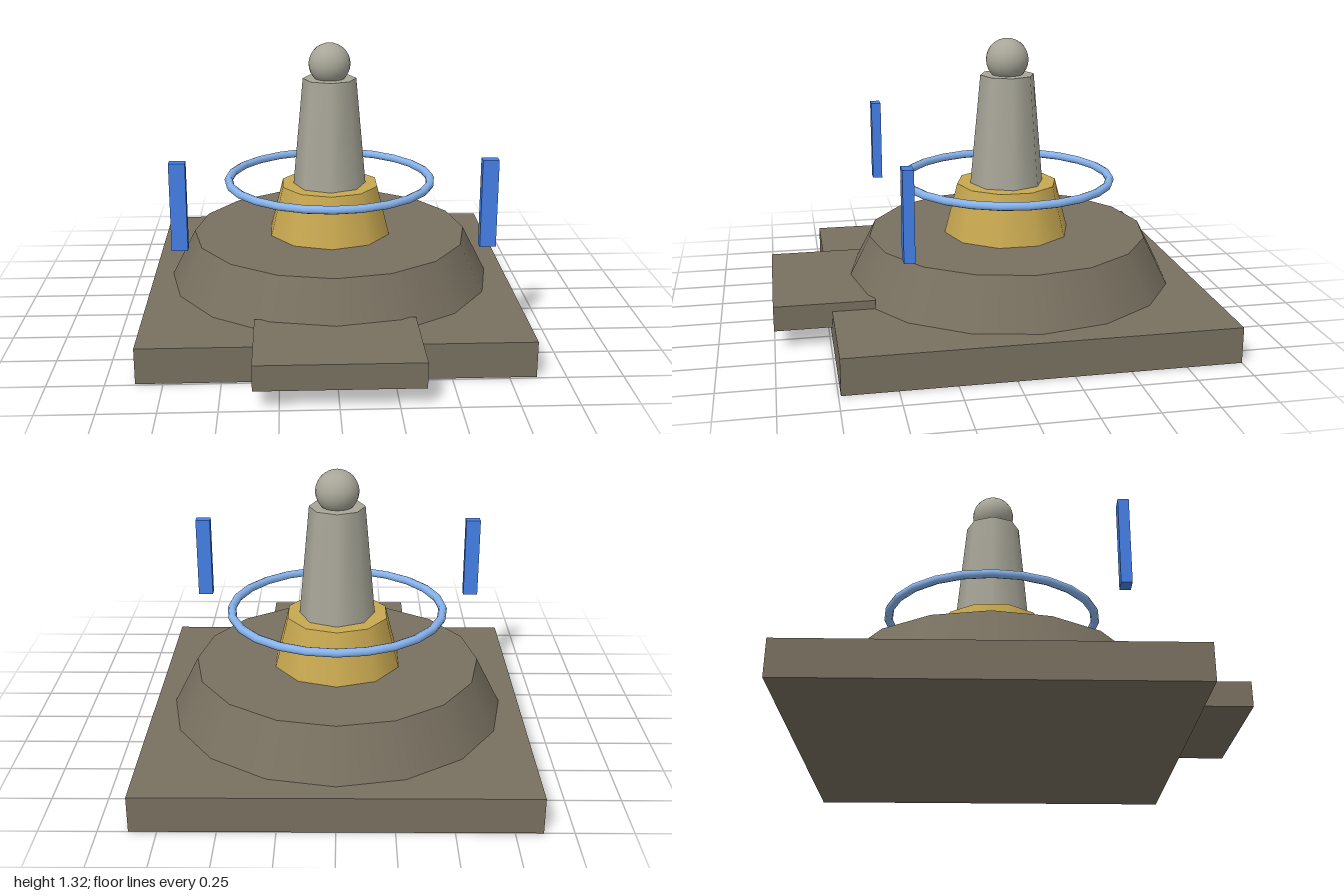
import * as THREE from 'three';

const STONE = 0x787060, GOLD = 0xc8a850, PALE = 0xa8a698, RING = 0x88b4ee, BLUE = 0x4480e8;
const AXIS_Z = -0.13; // the tower stands on the centre of the base

export function createModel() {
  const model = new THREE.Group();
  model.name = 'shrineTower';

  const add = (name, geometry, color, x, y, z) => {
    const mesh = new THREE.Mesh(geometry, new THREE.MeshStandardMaterial({ color }));
    mesh.name = name;
    mesh.position.set(x, y, z);
    model.add(mesh);
    return mesh;
  };
  // box given by its size, bottom height and centre
  const box = (name, w, h, d, color, x, y0, z) =>
    add(name, new THREE.BoxGeometry(w, h, d), color, x, y0 + h / 2, z);
  // tapered tier from y0 to y1 on the tower axis
  const tier = (name, rTop, rBottom, y0, y1, sides, color) =>
    add(name, new THREE.CylinderGeometry(rTop, rBottom, y1 - y0, sides), color, 0, (y0 + y1) / 2, AXIS_Z);

  // base slab and front step
  box('baseSlab', 1.74, 0.165, 1.74, STONE, 0, 0, AXIS_Z);
  box('frontStep', 0.72, 0.115, 0.455, STONE, 0, 0.09, 0.7725);

  // tower tiers
  tier('lowerTier', 0.665, 0.78, 0.165, 0.39, 16, STONE);
  tier('goldTier', 0.24, 0.302, 0.39, 0.63, 10, GOLD);
  tier('spire', 0.128, 0.176, 0.63, 1.15, 8, PALE);
  add('finialBall', new THREE.SphereGeometry(0.1, 20, 14), PALE, 0, 1.22, AXIS_Z);

  // floating ring
  const ring = add('floatingRing', new THREE.TorusGeometry(0.493, 0.02, 8, 24), RING, 0, 0.65, AXIS_Z);
  ring.rotation.x = Math.PI / 2;

  // floating posts either side
  for (const side of [-1, 1]) {
    box(side > 0 ? 'leftPost' : 'rightPost', 0.072, 0.4, 0.048, BLUE, side * 0.684, 0.5, 0.43);
  }
  return model;
}
